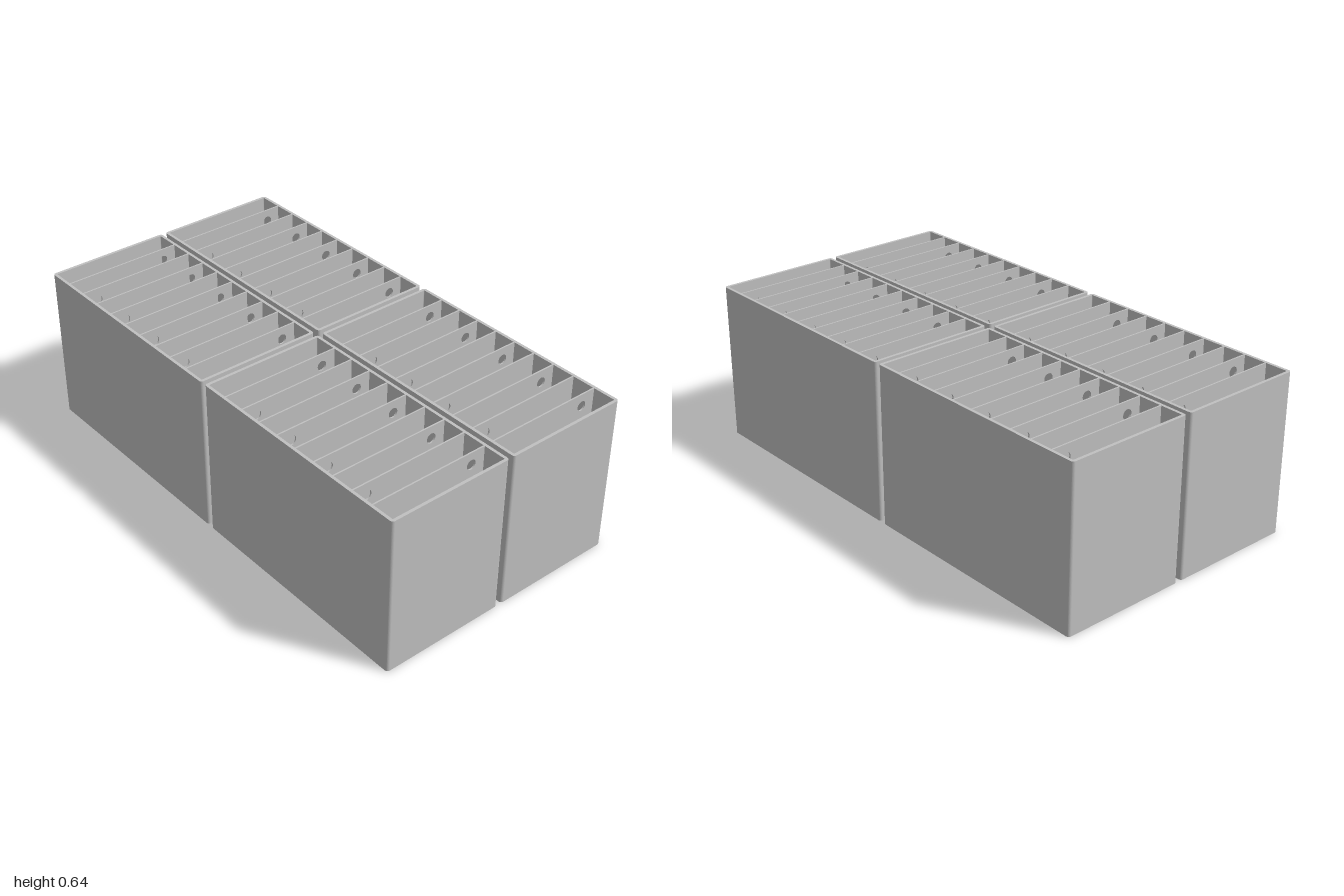
import * as THREE from 'three';

const W = 0.99, D = 0.516, H = 0.643;      // outer size of one bin
const WALL = 0.012, DIV = 0.006, PITCH = 0.097, FLOOR = 0.012;

// Rectangle outline with rounded corners, centred on the origin
function roundedRect(shape, w, d, r) {
  const x = w / 2, y = d / 2;
  shape.moveTo(-x + r, -y);
  shape.lineTo(x - r, -y);
  shape.absarc(x - r, -y + r, r, -Math.PI / 2, 0);
  shape.lineTo(x, y - r);
  shape.absarc(x - r, y - r, r, 0, Math.PI / 2);
  shape.lineTo(-x + r, y);
  shape.absarc(-x + r, y - r, r, Math.PI / 2, Math.PI);
  shape.lineTo(-x, -y + r);
  shape.absarc(-x + r, -y + r, r, Math.PI, Math.PI * 1.5);
  return shape;
}

function extrude(shape, depth) {
  return new THREE.ExtrudeGeometry(shape, { depth, bevelEnabled: false, curveSegments: 8 });
}

export function createModel() {
  const model = new THREE.Group();
  model.name = 'dividedBins';
  const grey = new THREE.MeshStandardMaterial({ color: 0xc0c0c0 });
  grey.name = 'plain grey';

  // Outer walls: a rounded ring pulled upwards
  const ring = roundedRect(new THREE.Shape(), W, D, 0.012);
  ring.holes.push(roundedRect(new THREE.Path(), W - 2 * WALL, D - 2 * WALL, 0.003));
  const wallGeo = extrude(ring, H - FLOOR).rotateX(-Math.PI / 2).translate(0, FLOOR, 0);

  // Floor plate
  const floorGeo = extrude(roundedRect(new THREE.Shape(), W, D, 0.012), FLOOR).rotateX(-Math.PI / 2);

  // Divider with one round hole near the top, towards the back
  const half = D / 2 - WALL;
  const panel = new THREE.Shape();
  panel.moveTo(-half, FLOOR);
  panel.lineTo(half, FLOOR);
  panel.lineTo(half, H);
  panel.lineTo(-half, H);
  panel.closePath();
  panel.holes.push(new THREE.Path().absarc(0.187, H - 0.05, 0.02, 0, Math.PI * 2, true));
  const dividerGeo = extrude(panel, DIV).translate(0, 0, -DIV / 2).rotateY(Math.PI / 2);

  function makeBin() {
    const bin = new THREE.Group();
    const add = (geo, name) => {
      const mesh = new THREE.Mesh(geo, grey);
      mesh.name = name;
      bin.add(mesh);
      return mesh;
    };
    add(wallGeo, 'walls');
    add(floorGeo, 'floor');
    // Nine dividers, holes alternating between back and front
    for (let i = 0; i < 9; i++) {
      const divider = add(dividerGeo, 'divider');
      divider.position.x = (i - 4) * PITCH;
      divider.rotation.y = i % 2 ? Math.PI : 0;
    }
    return bin;
  }

  // Two by two block of bins with a narrow gap
  for (const sx of [-1, 1]) {
    for (const sz of [-1, 1]) {
      const bin = makeBin();
      bin.name = (sz > 0 ? 'front' : 'back') + (sx > 0 ? 'Left' : 'Right') + 'Bin';
      bin.position.set(sx * 0.505, 0, sz * 0.268);
      model.add(bin);
    }
  }
  return model;
}
